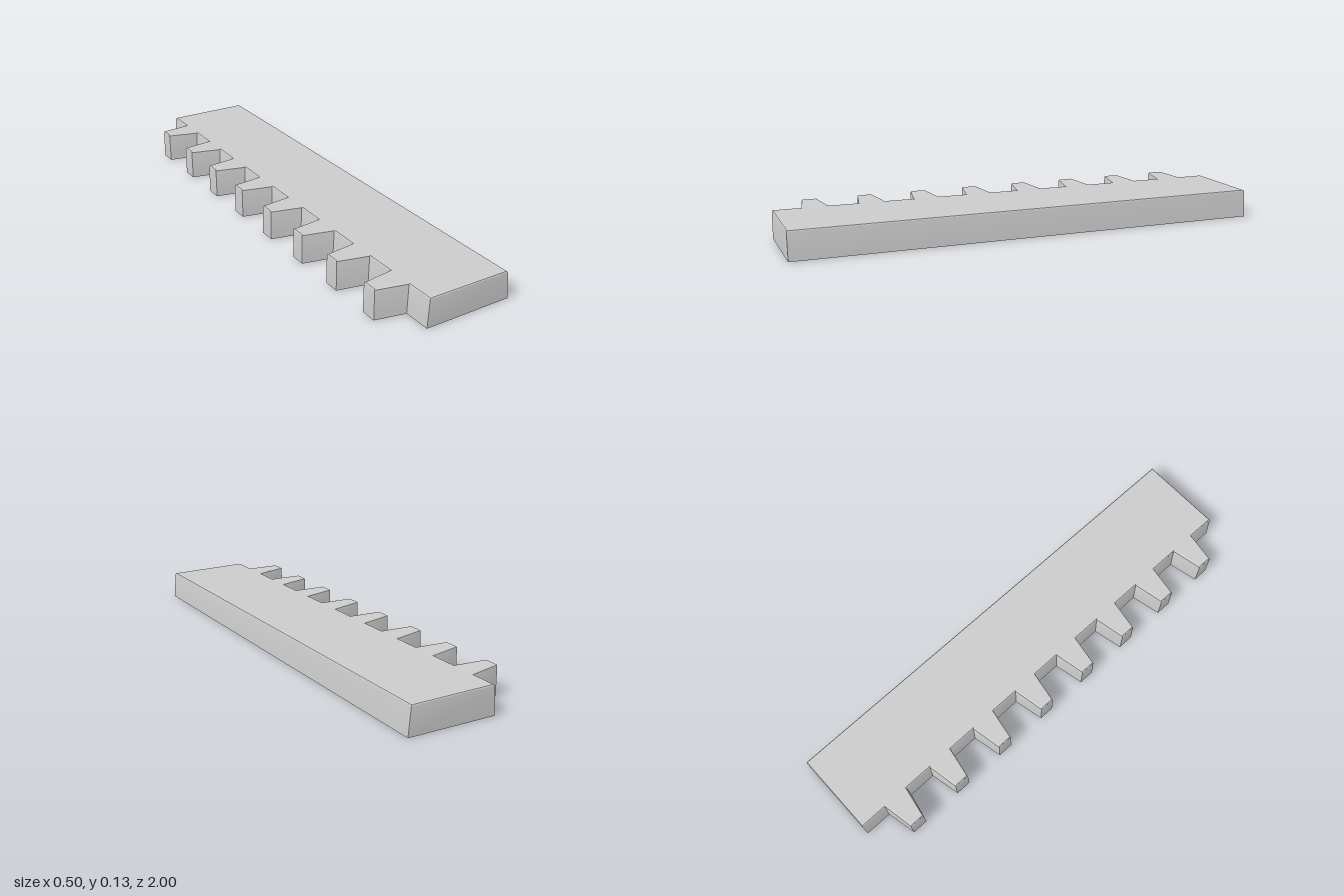
import * as THREE from 'three';
import { toCreasedNormals } from 'three/addons/utils/BufferGeometryUtils.js';

const TEETH = 8, PITCH = 0.236, BEVEL = 0.007;

// Height of the gently sloping top, highest at the tooth tips
function topHeight(x) {
  return x < -0.12
    ? THREE.MathUtils.mapLinear(x, -0.25, -0.12, 0.126, 0.1205)
    : THREE.MathUtils.mapLinear(x, -0.12, 0.25, 0.1205, 0.117);
}

// Rack outline: t = draft from bottom (0) to top (1), b = inward bevel offset,
// drop = distance below the top surface (null for the ground loop)
function outline(t, b, drop) {
  const right = 0.25 - 0.01 * t - b;
  const root = -0.125 + 0.007 * t + b;
  const tip = -0.25 + b;
  const end = 1 - b;
  const rootHalf = 0.06 - 0.004 * t - b;
  const tipHalf = 0.033 - 0.001 * t - b;
  const pts = [[right, end], [right, -end], [root, -end]];
  for (let i = 0; i < TEETH; i++) {
    const z = (i - (TEETH - 1) / 2) * PITCH;
    pts.push([root, z - rootHalf], [tip, z - tipHalf], [tip, z + tipHalf], [root, z + rootHalf]);
  }
  pts.push([root, end]);
  return pts.map(([x, z]) => [x, drop === null ? 0 : topHeight(x) - drop, z]);
}

function makeMesh(name, positions, material) {
  const geo = new THREE.BufferGeometry();
  geo.setAttribute('position', new THREE.Float32BufferAttribute(positions, 3));
  const mesh = new THREE.Mesh(toCreasedNormals(geo, 0.5), material);
  mesh.name = name;
  return mesh;
}

export function createModel() {
  const group = new THREE.Group();
  group.name = 'gearRack';
  const material = new THREE.MeshStandardMaterial({ color: 0xcccccc, side: THREE.DoubleSide });
  const quad = (out, a, b, c, d) => out.push(...a, ...b, ...c, ...a, ...c, ...d);

  // Drafted side walls followed by a small rounded top edge
  const loops = [outline(0, 0, null)];
  for (let i = 0; i <= 3; i++) {
    const a = (i / 3) * Math.PI / 2;
    loops.push(outline(1, BEVEL * (1 - Math.cos(a)), BEVEL * (1 - Math.sin(a))));
  }
  const walls = [];
  for (let k = 0; k < loops.length - 1; k++) {
    const lo = loops[k], hi = loops[k + 1], n = lo.length;
    for (let i = 0; i < n; i++) {
      const j = (i + 1) % n;
      quad(walls, lo[i], lo[j], hi[j], hi[i]);
    }
  }
  group.add(makeMesh('sideWalls', walls, material));

  // Top surfaces of the bar and its teeth; the underside stays open
  const rim = loops[loops.length - 1];
  const bar = [], teeth = [];
  quad(bar, rim[0], rim[1], rim[2], rim[rim.length - 1]);
  for (let i = 0; i < TEETH; i++) quad(teeth, ...rim.slice(3 + 4 * i, 7 + 4 * i));
  group.add(makeMesh('barTop', bar, material), makeMesh('toothTops', teeth, material));

  return group;
}
